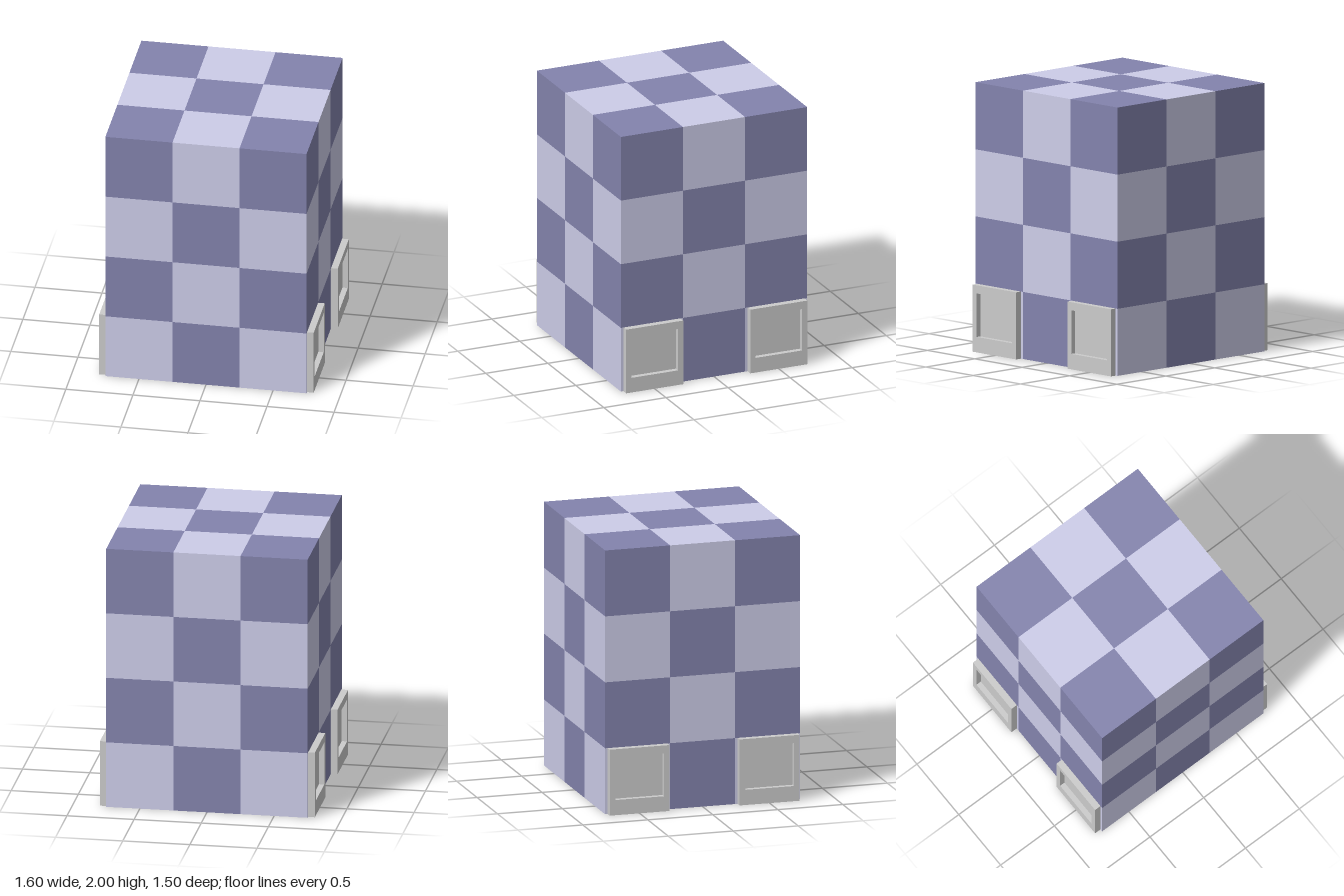
import * as THREE from 'three';

const W = 1.5, H = 2, CELL = 0.5;
const PANEL = { w: 0.46, h: 0.5, depth: 0.05 };
const RECESS = { w: 0.375, y0: 0.115, y1: 0.44, depth: 0.04 };

const darkMat = new THREE.MeshStandardMaterial({ color: 0x8383ad });
const lightMat = new THREE.MeshStandardMaterial({ color: 0xcdcde9 });
const greyMat = new THREE.MeshStandardMaterial({ color: 0xcccccc, side: THREE.DoubleSide });

// Half of the chequered box surface: the squares whose cell parity matches
function chequerSquares(parity) {
  const box = new THREE.BoxGeometry(W, H, W, 3, 4, 3).toNonIndexed();
  const pos = box.attributes.position, nor = box.attributes.normal;
  const points = [], normals = [];
  const p = new THREE.Vector3(), n = new THREE.Vector3(), mid = new THREE.Vector3();
  for (let i = 0; i < pos.count; i += 3) {
    mid.set(0, 0, 0);
    for (let k = 0; k < 3; k++) mid.add(p.fromBufferAttribute(pos, i + k));
    n.fromBufferAttribute(nor, i);
    // step slightly inwards to find the cell behind this triangle
    mid.divideScalar(3).addScaledVector(n, -0.1);
    const cell = Math.floor((mid.x + W / 2) / CELL) + Math.floor((mid.y + H / 2) / CELL)
      + Math.floor((mid.z + W / 2) / CELL);
    if (cell % 2 !== parity) continue;
    for (let k = 0; k < 3; k++) {
      p.fromBufferAttribute(pos, i + k);
      points.push(p.x, p.y + H / 2, p.z);
      normals.push(n.x, n.y, n.z);
    }
  }
  const geo = new THREE.BufferGeometry();
  geo.setAttribute('position', new THREE.Float32BufferAttribute(points, 3));
  geo.setAttribute('normal', new THREE.Float32BufferAttribute(normals, 3));
  return geo;
}

function part(name, geo, mat) {
  const mesh = new THREE.Mesh(geo, mat);
  mesh.name = name;
  return mesh;
}

// Thin rectangle, turned and placed
function sheet(name, w, h, x, y, z, rx = 0, ry = 0) {
  const mesh = part(name, new THREE.PlaneGeometry(w, h), greyMat);
  mesh.rotation.set(rx, ry, 0);
  mesh.position.set(x, y, z);
  return mesh;
}

function rectangle(target, x0, y0, x1, y1) {
  target.moveTo(x0, y0).lineTo(x1, y0).lineTo(x1, y1).lineTo(x0, y1).closePath();
  return target;
}

// Side panel facing +z: a shallow shell open at the bottom, with a sunken field
function sidePanel(name) {
  const g = new THREE.Group();
  g.name = name;
  const { w, h, depth } = PANEL, q = Math.PI / 2;
  const rh = RECESS.y1 - RECESS.y0, rMid = (RECESS.y0 + RECESS.y1) / 2;
  const rz = depth - RECESS.depth / 2;

  const face = rectangle(new THREE.Shape(), -w / 2, 0, w / 2, h);
  face.holes.push(rectangle(new THREE.Path(), -RECESS.w / 2, RECESS.y0, RECESS.w / 2, RECESS.y1));
  const frame = part('panelFrame', new THREE.ShapeGeometry(face), greyMat);
  frame.position.z = depth;
  g.add(frame);

  g.add(sheet('panelTop', w, depth, 0, h, depth / 2, -q));
  g.add(sheet('recessFloor', RECESS.w, rh, 0, rMid, depth - RECESS.depth));
  g.add(sheet('recessSill', RECESS.w, RECESS.depth, 0, RECESS.y0, rz, -q));
  g.add(sheet('recessLintel', RECESS.w, RECESS.depth, 0, RECESS.y1, rz, q));
  for (const s of [-1, 1]) {
    g.add(sheet('panelSide', depth, h, s * w / 2, h / 2, depth / 2, 0, s * q));
    g.add(sheet('recessSide', RECESS.depth, rh, s * RECESS.w / 2, rMid, rz, 0, -s * q));
  }
  return g;
}

export function createModel() {
  const model = new THREE.Group();
  model.name = 'chequeredBlock';
  model.add(part('darkSquares', chequerSquares(1), darkMat));
  model.add(part('lightSquares', chequerSquares(0), lightMat));

  // Two panels on each flank
  for (const sx of [-1, 1]) {
    for (const sz of [-1, 1]) {
      const panel = sidePanel((sx > 0 ? 'left' : 'right') + (sz > 0 ? 'Front' : 'Back') + 'Panel');
      panel.rotation.y = sx * Math.PI / 2;
      panel.position.set(sx * W / 2, 0, sz * 0.5);
      model.add(panel);
    }
  }
  return model;
}
